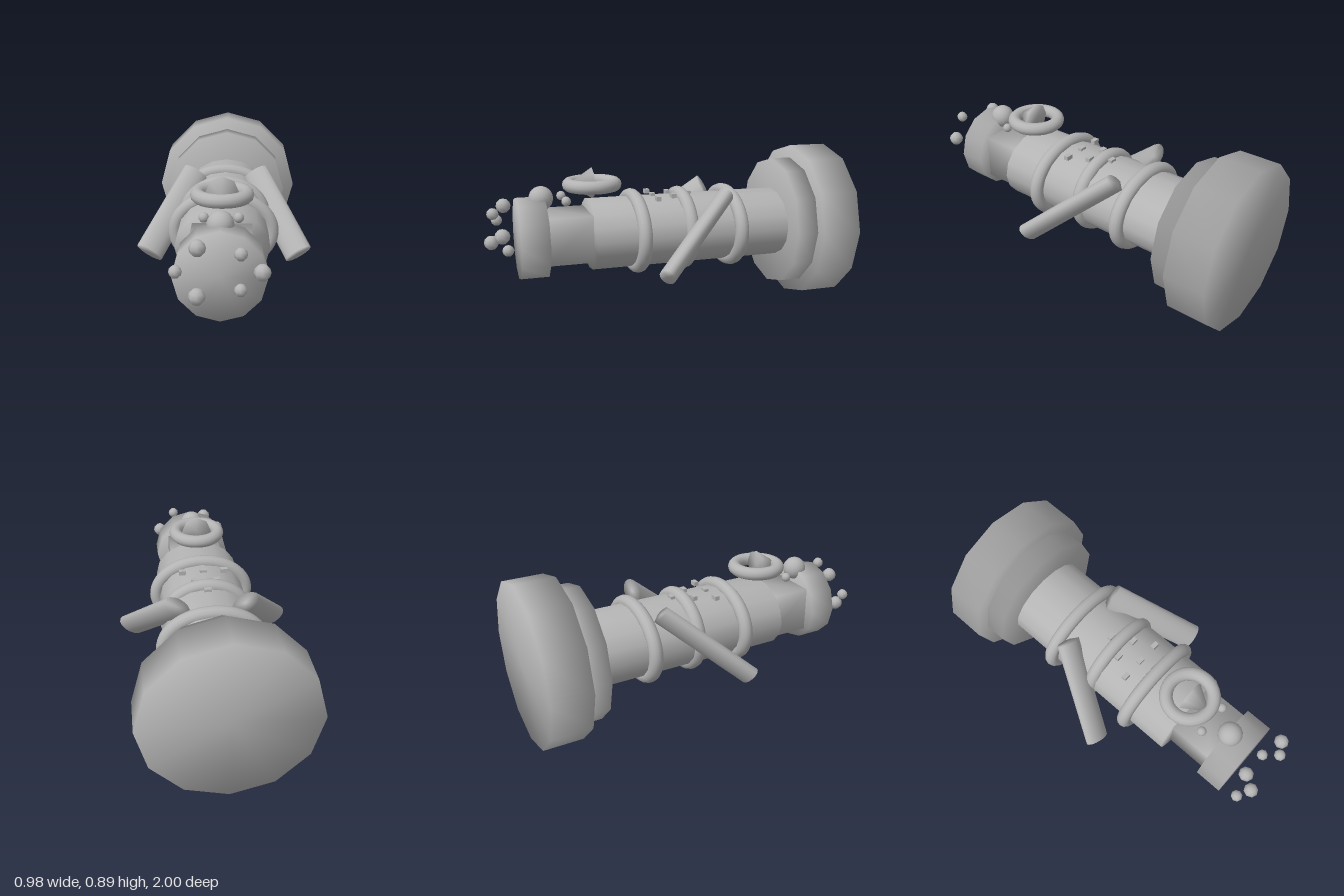
import * as THREE from 'three';
import { mergeVertices } from 'three/addons/utils/BufferGeometryUtils.js';

const AXIS_Y = 0.445;

export function createModel() {
  const model = new THREE.Group();
  const grey = new THREE.MeshStandardMaterial({ color: 0xb4b4b4 });
  grey.name = 'plain grey';

  // Weld the corners so that shading runs smoothly over the edges
  const weld = (geometry) => {
    geometry.deleteAttribute('normal');
    geometry.deleteAttribute('uv');
    const welded = mergeVertices(geometry, 1e-4);
    welded.computeVertexNormals();
    return welded;
  };

  const add = (name, geometry, x = 0, y = 0, z = 0) => {
    const mesh = new THREE.Mesh(geometry, grey);
    mesh.name = name;
    mesh.position.set(x, y, z);
    model.add(mesh);
    return mesh;
  };

  // Drum lying along z, with its own half width and half height
  const drum = (name, halfWidth, halfHeight, back, front, sides) => {
    const geometry = new THREE.CylinderGeometry(1, 1, front - back, sides);
    geometry.rotateX(Math.PI / 2).scale(halfWidth, halfHeight, 1);
    return add(name, weld(geometry), 0, AXIS_Y, (back + front) / 2);
  };

  drum('baseDisk', 0.445, 0.445, -1, -0.78, 12);
  drum('baseStep', 0.372, 0.372, -0.78, -0.66, 12);
  drum('body', 0.246, 0.196, -0.66, 0.44, 16);
  drum('head', 0.224, 0.224, 0.68, 0.83, 12);
  add('neck', weld(new THREE.BoxGeometry(0.306, 0.255, 0.26)), 0, AXIS_Y + 0.002, 0.56);

  // Oval rings around the body
  for (const [z, halfWidth] of [[0.185, 0.264], [-0.09, 0.227], [-0.368, 0.264]]) {
    const points = [];
    for (let i = 0; i < 32; i++) {
      const a = (i / 32) * Math.PI * 2;
      points.push(new THREE.Vector3(halfWidth * Math.cos(a), 0.197 * Math.sin(a), 0));
    }
    const path = new THREE.CatmullRomCurve3(points, true);
    add('bodyRing', new THREE.TubeGeometry(path, 64, 0.038, 12, true), 0, AXIS_Y, z);
  }

  // Flattened arms, slanting out, down and forward
  for (const side of [1, -1]) {
    const shoulder = new THREE.Vector3(0.18 * side, 0.645, -0.295);
    const hand = new THREE.Vector3(0.42 * side, 0.287, 0.115);
    const along = hand.clone().sub(shoulder);
    const length = along.length();
    along.normalize();
    const wide = new THREE.Vector3(-along.y, along.x, 0).normalize();
    const thin = new THREE.Vector3().crossVectors(wide, along);
    const geometry = new THREE.CylinderGeometry(1, 1, length, 16).scale(0.08, 1, 0.046);
    const arm = add(side > 0 ? 'leftArm' : 'rightArm', weld(geometry));
    arm.quaternion.setFromRotationMatrix(new THREE.Matrix4().makeBasis(wide, along, thin));
    arm.position.copy(shoulder).lerp(hand, 0.5);
  }

  // Ring lying on top, with a cone pointing forward inside it
  add('topRing', new THREE.TorusGeometry(0.126, 0.036, 12, 32).rotateX(Math.PI / 2), 0, 0.721, 0.415);
  add('topCone', weld(new THREE.ConeGeometry(0.086, 0.13, 8).rotateX(Math.PI / 2)), 0, 0.728, 0.48);

  // Balls on top of the head and neck
  add('topBall', new THREE.SphereGeometry(0.066, 16, 12), 0, 0.658, 0.695);
  for (const side of [1, -1]) {
    add('neckBall', new THREE.SphereGeometry(0.026, 10, 8), 0.085 * side, 0.65, 0.573);
  }

  // Small balls floating before the head: x, y, z, radius
  const balls = [
    [-0.098, 0.61, 0.887, 0.04], [0.097, 0.61, 0.957, 0.031],
    [-0.196, 0.51, 0.92, 0.031], [0.193, 0.51, 0.92, 0.04],
    [-0.098, 0.408, 0.96, 0.04], [0.097, 0.408, 0.887, 0.031],
  ];
  for (const [x, y, z, r] of balls) add('frontBall', new THREE.SphereGeometry(r, 8, 6), x, y, z);

  // Buttons in three rows on the back of the body
  const buttons = [[0, -0.14], [-0.06, -0.032], [0.06, -0.032], [-0.118, 0.073], [0, 0.073], [0.118, 0.073]];
  for (const [x, z] of buttons) {
    add('button', new THREE.BoxGeometry(0.04, 0.024, 0.026), x, 0.642, z);
  }

  return model;
}
